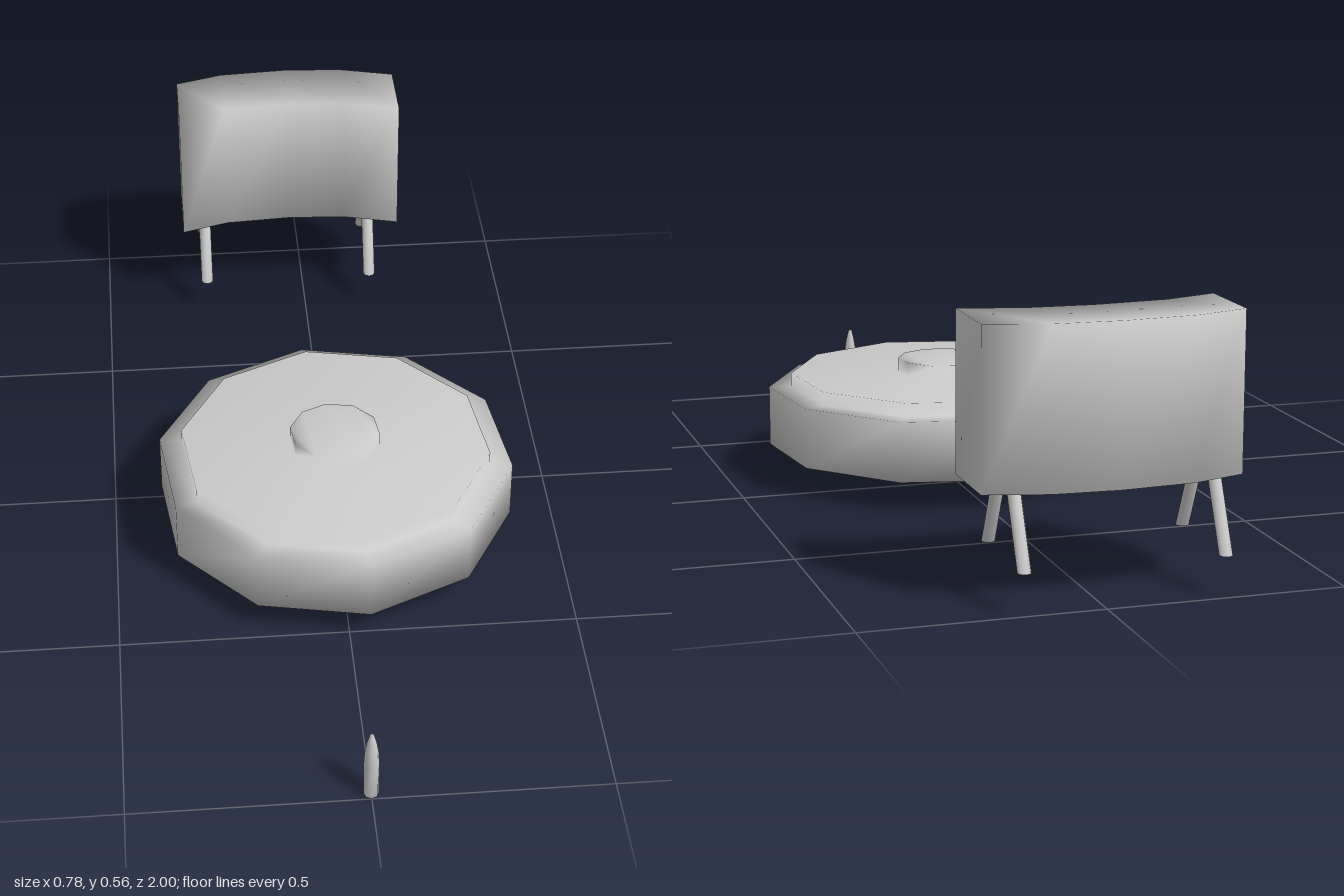
import * as THREE from 'three';

const material = new THREE.MeshStandardMaterial({ color: 0xcccccc });

// Smooth closed solid through a stack of rings (arrays of [x, y, z], bottom to top,
// each with the same even number of points, counter-clockwise seen from below)
function loft(name, rings) {
  const n = rings[0].length, index = [];
  for (let r = 0; r < rings.length - 1; r++) {
    for (let i = 0; i < n; i++) {
      const a = r * n + i, b = r * n + (i + 1) % n;
      index.push(a, a + n, b, b, a + n, b + n);
    }
  }
  // caps: strips running across the ring
  const top = (rings.length - 1) * n;
  for (let i = 0; i < n / 2 - 1; i++) {
    const a = i, b = i + 1, c = n - 2 - i, d = n - 1 - i;
    index.push(a, b, c, a, c, d);
    index.push(top + a, top + c, top + b, top + a, top + d, top + c);
  }
  const geometry = new THREE.BufferGeometry();
  geometry.setAttribute('position', new THREE.Float32BufferAttribute(rings.flat(2), 3));
  geometry.setIndex(index);
  geometry.computeVertexNormals();
  const mesh = new THREE.Mesh(geometry, material);
  mesh.name = name;
  return mesh;
}

// Regular horizontal ring
function ring(sides, radius, x, y, z, turn = 0) {
  return Array.from({ length: sides }, (_, i) => {
    const a = turn + (i / sides) * Math.PI * 2;
    return [x + radius * Math.cos(a), y, z + radius * Math.sin(a)];
  });
}

export function createModel() {
  const model = new THREE.Group();
  model.name = 'explosivesSet';

  // Ten-sided disc with a raised plate and a central button
  const turn = THREE.MathUtils.degToRad(11.5);
  const discProfile = [
    [0.4, 0.068], [0.4, 0.204], [0.349, 0.204],
    [0.349, 0.235], [0.101, 0.235], [0.101, 0.266],
  ];
  model.add(loft('disc', discProfile.map(([r, y]) => ring(10, r, 0, y, 0.126, turn))));

  // Curved upright panel on four splayed legs
  const panel = new THREE.Group();
  panel.name = 'standingPanel';
  const cx = -0.035, cz = -0.871;
  const bow = [[-0.27, 0.024], [-0.158, -0.011], [0, -0.022], [0.138, -0.014], [0.27, 0.021]];
  const outline = [
    ...bow.map(([x, z]) => [cx + x, cz + z - 0.084]),
    ...[...bow].reverse().map(([x, z]) => [cx + x, cz + z + 0.084]),
  ];
  panel.add(loft('panelBody', [0.228, 0.56].map((y) => outline.map(([x, z]) => [x, y, z]))));
  for (const sx of [-1, 1]) {
    for (const sz of [-1, 1]) {
      const x = cx - 0.008 + sx * 0.207;
      panel.add(loft(sz > 0 ? 'frontLeg' : 'backLeg', [
        ring(8, 0.0145, x, 0.083, cz + sz * 0.115),
        ring(8, 0.0145, x, 0.25, cz + sz * 0.037),
      ]));
    }
  }
  model.add(panel);

  // Small pointed round standing in front
  const roundProfile = [[0.016, 0], [0.016, 0.085], [0.0145, 0.115], [0.01, 0.143], [0.004, 0.165]];
  model.add(loft('pointedRound', roundProfile.map(([r, y]) => ring(8, r, 0, y, 0.983))));

  return model;
}
